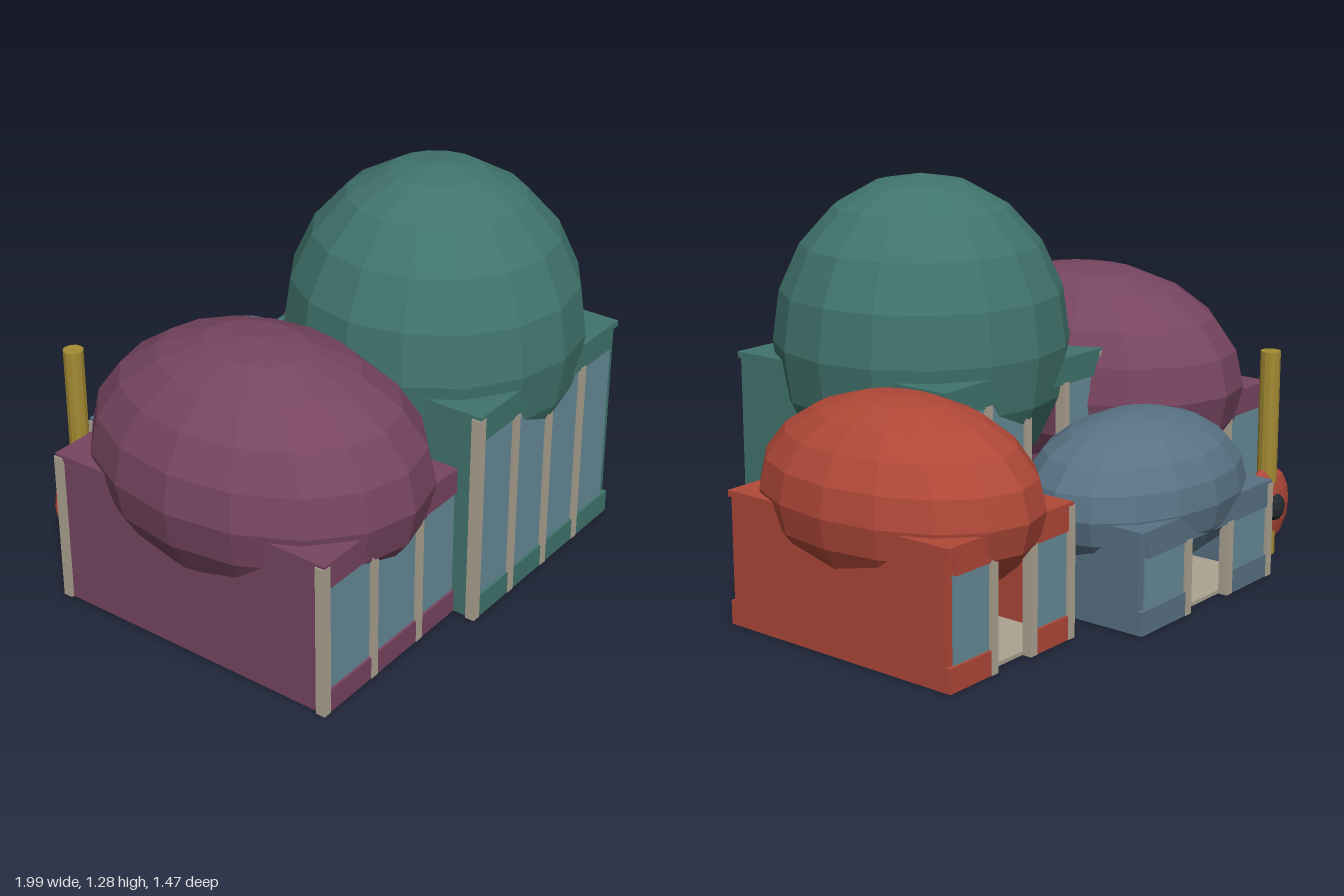
import * as THREE from 'three';

const mat = (color) => new THREE.MeshStandardMaterial({ color, flatShading: true });

const glass = mat(0x668a98);
const stone = mat(0xaca291);
const gold = mat(0xa38a32);
const dark = mat(0x232b30);
const red = mat(0xb04838);

function add(parent, name, geometry, material, x = 0, y = 0, z = 0) {
  const mesh = new THREE.Mesh(geometry, material);
  mesh.name = name;
  mesh.position.set(x, y, z);
  parent.add(mesh);
  return mesh;
}

// Box given by its minimum and maximum corners
function block(parent, name, material, [x0, y0, z0], [x1, y1, z1]) {
  const geometry = new THREE.BoxGeometry(x1 - x0, y1 - y0, z1 - z0);
  return add(parent, name, geometry, material, (x0 + x1) / 2, (y0 + y1) / 2, (z0 + z1) / 2);
}

function ellipsoid(parent, name, material, radii, position, columns = 16, rows = 10) {
  const geometry = new THREE.SphereGeometry(1, columns, rows).scale(...radii);
  return add(parent, name, geometry, material, ...position);
}

// Glazed wall with posts; side is +1 for the front, -1 for the back
function facade(parent, material, { x0, x1, z, height, bays, side, door }) {
  const wall = new THREE.Group();
  wall.name = side > 0 ? 'frontFacade' : 'backFacade';
  parent.add(wall);
  const layer = (name, m, xa, xb, ya, yb, inner, outer) => {
    const a = z - side * inner, b = z - side * outer;
    block(wall, name, m, [xa, ya, Math.min(a, b)], [xb, yb, Math.max(a, b)]);
  };
  const step = (x1 - x0 - 0.03) / bays;
  layer('lintel', material, x0 + 0.01, x1 - 0.03, height - 0.085, height - 0.005, 0.035, 0);
  for (let i = 0; i < bays; i++) {
    const left = x0 + 0.015 + i * step;
    layer('post', stone, left - 0.015, left + 0.015, 0, height - (i ? 0.08 : 0.01), 0.03, -0.002);
    if (i === door) continue;
    layer('plinth', material, left, left + step + (i === bays - 1 ? 0.015 : 0), 0, 0.075, 0.03, 0);
    layer('window', glass, left + 0.015, left + step - 0.012, 0.075, height - 0.085, 0.025, 0.008);
  }
}

// Hollow pavilion: side walls, floor, roof, two facades and a bulging dome
function pavilion(root, { name, color, x, z, height, bays, dome, eaves }) {
  const group = new THREE.Group();
  group.name = name;
  root.add(group);
  const material = mat(color);
  const [x0, x1] = x, [z0, z1] = z;
  const t = 0.03, inset = 0.015;
  block(group, 'leftWall', material, [x1 - t, 0, z0 + inset], [x1, height, z1 - inset]);
  block(group, 'rightWall', material, [x0 + 0.01, 0, z0 + inset], [x0 + t, height, z1 - inset]);
  block(group, 'floor', stone, [x0 + t, 0, z0 + t], [x1 - t, 0.012, z1 - t]);
  block(group, 'roof', material, [x0 + 0.005, height - 0.02, z0], [x1, height, z1]);
  const shared = { x0, x1, height, bays };
  facade(group, material, { ...shared, z: z1, side: 1, door: -1 });
  facade(group, material, { ...shared, z: z0, side: -1, door: 1 });
  ellipsoid(group, 'dome', material, dome, [(x0 + x1) / 2, eaves, (z0 + z1) / 2]);
}

export function createModel() {
  const root = new THREE.Group();
  root.name = 'domedPavilions';

  const pavilions = [
    { name: 'tallPavilion', color: 0x41746d, x: [-0.275, 0.52], z: [-0.185, 0.69],
      height: 0.71, bays: 4, dome: [0.475, 0.53, 0.48], eaves: 0.75 },
    { name: 'widePavilion', color: 0x774560, x: [-0.92, -0.21], z: [-0.41, 0.61],
      height: 0.51, bays: 3, dome: [0.435, 0.385, 0.57], eaves: 0.53 },
    { name: 'sidePavilion', color: 0xb04838, x: [0.375, 0.935], z: [-0.56, 0.305],
      height: 0.42, bays: 3, dome: [0.335, 0.3, 0.485], eaves: 0.43 },
    { name: 'rearPavilion', color: 0x587284, x: [-0.465, 0.25], z: [-0.715, -0.145],
      height: 0.32, bays: 3, dome: [0.43, 0.25, 0.31], eaves: 0.325 },
  ];
  for (const spec of pavilions) pavilion(root, spec);

  // Free-standing chimney with a round stove body and a dark porthole
  const stove = new THREE.Group();
  stove.name = 'chimneyStove';
  stove.position.set(-0.64, 0, -0.585);
  root.add(stove);
  add(stove, 'chimneyPipe', new THREE.CylinderGeometry(0.033, 0.033, 0.69, 12), gold, 0, 0.345, 0);
  ellipsoid(stove, 'stoveBody', red, [0.125, 0.135, 0.042], [0, 0.165, 0], 12, 8);
  ellipsoid(stove, 'porthole', dark, [0.042, 0.045, 0.025], [0, 0.165, -0.038], 10, 6);

  return root;
}
